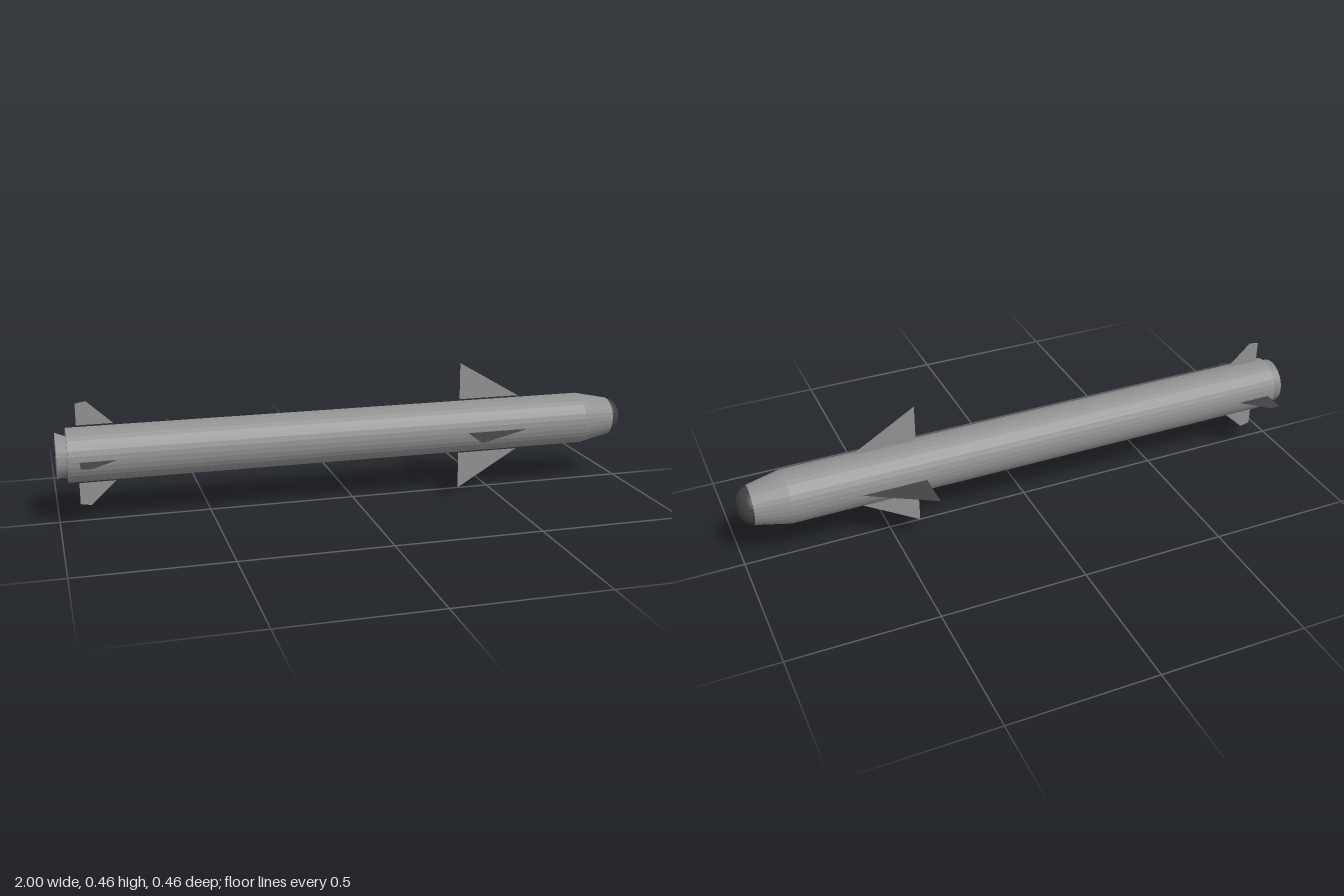
import * as THREE from 'three';

const SIDES = 32;
const AXIS_Y = 0.228;

export function createModel() {
  const model = new THREE.Group();
  model.name = 'missile';
  const grey = new THREE.MeshStandardMaterial({ color: 0x909090, flatShading: true });
  const dark = new THREE.MeshStandardMaterial({ color: 0x404040, flatShading: true });
  const finGrey = new THREE.MeshStandardMaterial({ color: 0x909090, side: THREE.DoubleSide });
  const finDark = new THREE.MeshStandardMaterial({ color: 0x424242, side: THREE.DoubleSide });

  // Everything is built around the x axis, then lifted to its height
  const add = (name, geometry, material) => {
    const mesh = new THREE.Mesh(geometry, material);
    mesh.name = name;
    mesh.position.y = AXIS_Y;
    model.add(mesh);
    return mesh;
  };

  // Round section between x0 and x1 with a radius at each end
  const section = (name, x0, r0, x1, r1) => {
    const g = new THREE.CylinderGeometry(r1, r0, x1 - x0, SIDES);
    g.rotateZ(-Math.PI / 2).translate((x0 + x1) / 2, 0, 0);
    add(name, g, grey);
  };
  section('body', -0.965, 0.09, 0.84, 0.09);
  section('noseCone', 0.84, 0.09, 0.955, 0.066);
  section('nozzle', -1, 0.077, -0.965, 0.062);

  // Rounded seeker dome at the tip
  const dome = new THREE.SphereGeometry(0.0625, SIDES, 10, 0, Math.PI * 2, 0, Math.PI / 2);
  dome.scale(1, 0.045 / 0.0625, 1).rotateZ(-Math.PI / 2).translate(0.955, 0, 0);
  add('seekerDome', dome, dark);

  // Four thin fins per set, drawn as (x, radius) outlines; the level pair is dark
  const finSet = (name, outline) => {
    const shape = new THREE.Shape(outline.map(([x, r]) => new THREE.Vector2(x, r)));
    const geometry = new THREE.ShapeGeometry(shape);
    for (let i = 0; i < 4; i++) {
      const fin = add(name + (i + 1), geometry, i % 2 ? finDark : finGrey);
      fin.rotation.x = i * Math.PI / 2;
    }
  };
  finSet('frontFin', [[0.39, 0.098], [0.61, 0.098], [0.39, 0.228]]);
  finSet('tailFin', [[-0.93, 0.098], [-0.81, 0.098], [-0.895, 0.177], [-0.93, 0.171]]);

  return model;
}
